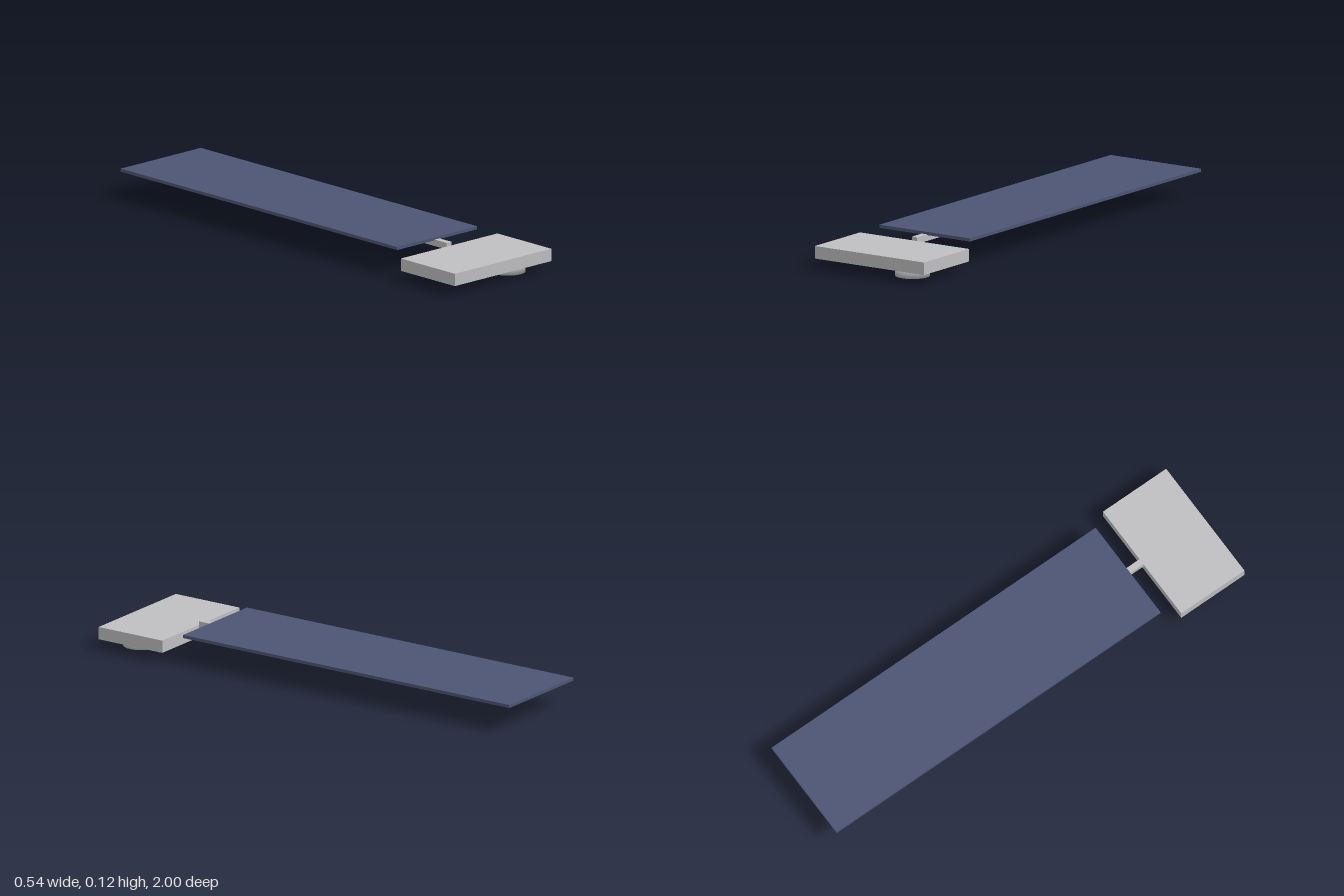
import * as THREE from 'three';
import { mergeVertices } from 'three/addons/utils/BufferGeometryUtils.js';

export function createModel() {
  const model = new THREE.Group();
  model.name = 'satellite';

  const silver = new THREE.MeshStandardMaterial({ color: 0xc0c0c2 });
  silver.name = 'silver';
  const panelBlue = new THREE.MeshStandardMaterial({ color: 0x4d5575 });
  panelBlue.name = 'panelBlue';

  function add(name, geometry, material, x, y, z) {
    const mesh = new THREE.Mesh(geometry, material);
    mesh.name = name;
    mesh.position.set(x, y, z);
    model.add(mesh);
  }

  // Box given by its full width and its y and z ranges, centred on x
  function addSlab(name, material, width, [y0, y1], [z0, z1]) {
    const geometry = new THREE.BoxGeometry(width, y1 - y0, z1 - z0);
    add(name, geometry, material, 0, (y0 + y1) / 2, (z0 + z1) / 2);
  }

  addSlab('body', silver, 0.54, [0.038, 0.09], [0.685, 1]);
  addSlab('panelArm', silver, 0.027, [0.078, 0.105], [0.463, 0.685]);
  addSlab('solarPanel', panelBlue, 0.448, [0.102, 0.115], [-1, 0.615]);

  // Short drum under the body, smoothed across its rims
  let drum = new THREE.CylinderGeometry(0.071, 0.071, 0.038, 32);
  drum.deleteAttribute('normal');
  drum.deleteAttribute('uv');
  drum = mergeVertices(drum);
  drum.computeVertexNormals();
  add('antennaDrum', drum, silver, 0.135, 0.019, 0.888);

  return model;
}
